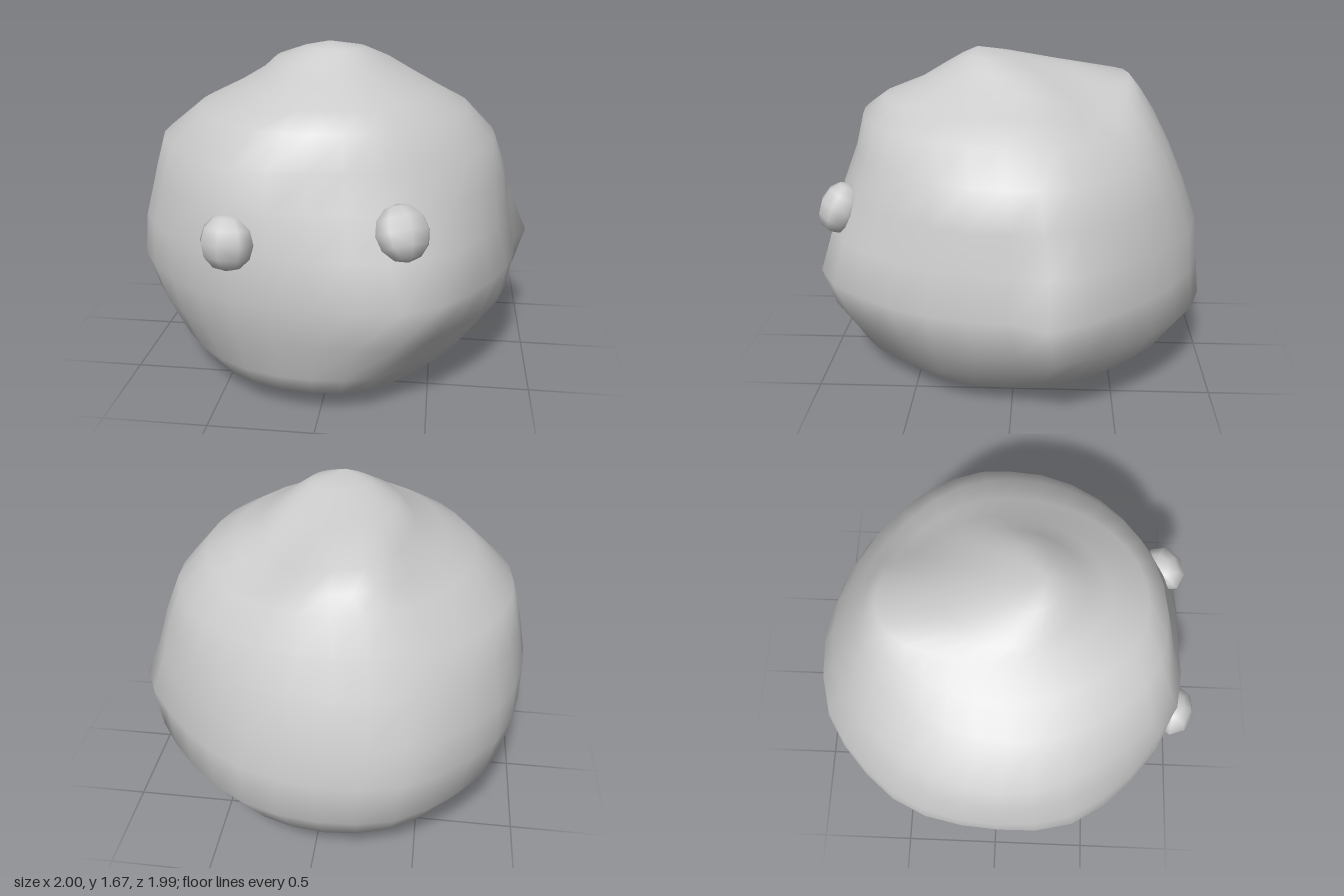
import * as THREE from 'three';

const material = new THREE.MeshStandardMaterial({ color: 0xcccccc, roughness: 0.8 });

// Uneven plan outline (x, z) at unit size, from the front round through the left (+x)
const OUTLINE = [
  [0, 0.98], [0.37, 0.98], [0.57, 0.87], [0.8, 0.54], [0.91, 0.2], [0.92, 0],
  [1, -0.2], [0.8, -0.52], [0.61, -0.72], [0.35, -0.91], [0, -1], [-0.4, -0.97],
  [-0.62, -0.83], [-0.86, -0.57], [-0.95, -0.37], [-1, 0], [-0.96, 0.38],
  [-0.71, 0.72], [-0.42, 0.91], [-0.2, 0.96],
];

// Rings: height, x from, x to, z from, z to, share of the uneven outline
const RINGS = [
  [0.025, -0.3, 0.32, -0.3, 0.42, 0],
  [0.035, -0.53, 0.5, -0.5, 0.56, 0.1],
  [0.11, -0.75, 0.68, -0.75, 0.85, 0.2],
  [0.2, -0.84, 0.77, -0.86, 0.89, 0.4],
  [0.4, -0.95, 0.95, -0.99, 0.96, 0.8],
  [0.6, -1, 1, -0.97, 1, 1],
  [0.8, -1, 0.92, -0.95, 0.96, 0.6],
  [1.0, -0.96, 0.87, -0.87, 0.9, 0.2],
  [1.18, -0.91, 0.8, -0.79, 0.83, 0.1],
  [1.34, -0.71, 0.65, -0.7, 0.79, 0],
  [1.42, -0.54, 0.5, -0.64, 0.69, 0],
  [1.5, -0.4, 0.36, -0.57, 0.5, 0],
  [1.57, -0.32, 0.25, -0.28, 0.38, 0],
  [1.63, -0.17, 0.14, 0.0, 0.28, 0],
];

// Soft local swellings and dents: centre, push, reach
const LUMPS = [
  [[-0.42, 1.08, 0.8], [-0.01, 0, 0.07], 0.28], // brow over the right eye
  [[0.55, 0.25, 0.65], [-0.04, 0.01, -0.04], 0.28], // flat below the left eye
  [[0.12, 0.0, 0.35], [0, -0.03, 0], 0.2], // low point underneath
  [[-0.2, 1.48, -0.52], [-0.04, 0.02, -0.03], 0.22], // knob at the top of the back
  [[0.28, 1.48, -0.45], [-0.02, -0.07, 0.04], 0.26], // hollow beside the knob
];

function createBody() {
  const SEG = 32;
  const plan = new THREE.CatmullRomCurve3(
    OUTLINE.map(([x, z]) => new THREE.Vector3(x, 0, z)), true, 'centripetal');
  const pos = [];
  const index = [];
  const p = new THREE.Vector3();
  const add = (x, y, z) => {
    p.set(x, y, z);
    for (const [c, push, reach] of LUMPS) {
      const d = p.distanceTo(new THREE.Vector3(...c)) / reach;
      p.addScaledVector(new THREE.Vector3(...push), Math.exp(-d * d));
    }
    pos.push(p.x, p.y, p.z);
  };

  for (const [y, x0, x1, z0, z1, uneven] of RINGS) {
    for (let i = 0; i < SEG; i++) {
      const q = plan.getPointAt(i / SEG);
      const a = Math.atan2(q.x, q.z);
      const u = THREE.MathUtils.lerp(Math.sin(a), q.x, uneven);
      const v = THREE.MathUtils.lerp(Math.cos(a), q.z, uneven);
      add((x0 + x1) / 2 + u * (x1 - x0) / 2, y, (z0 + z1) / 2 + v * (z1 - z0) / 2);
    }
  }
  const bottom = pos.length / 3;
  add(0.1, 0.025, 0.2);
  add(-0.03, 1.665, 0.2);

  // Skin between rings, then the two end fans
  const last = (RINGS.length - 1) * SEG;
  for (let i = 0; i < SEG; i++) {
    const j = (i + 1) % SEG;
    for (let r = 0; r < last; r += SEG) {
      index.push(r + i, r + j, r + SEG + j, r + i, r + SEG + j, r + SEG + i);
    }
    index.push(bottom, j, i, bottom + 1, last + i, last + j);
  }
  const geo = new THREE.BufferGeometry();
  geo.setAttribute('position', new THREE.Float32BufferAttribute(pos, 3));
  geo.setIndex(index);
  geo.computeVertexNormals();
  const mesh = new THREE.Mesh(geo, material);
  mesh.name = 'body';
  return mesh;
}

// Small low-sided bead set into the front
function createEye(name, x, y, z, pitch, yaw) {
  const geo = new THREE.SphereGeometry(0.13, 8, 6);
  const eye = new THREE.Mesh(geo, material);
  eye.name = name;
  eye.position.set(x, y, z);
  eye.scale.z = 0.75;
  eye.rotation.set(pitch, yaw, 0, 'YXZ');
  return eye;
}

export function createModel() {
  const model = new THREE.Group();
  model.name = 'lumpyCreature';
  model.add(
    createBody(),
    createEye('rightEye', -0.395, 0.87, 0.9, -0.15, -0.2),
    createEye('leftEye', 0.375, 0.935, 0.86, -0.5, 0.5),
  );
  return model;
}
